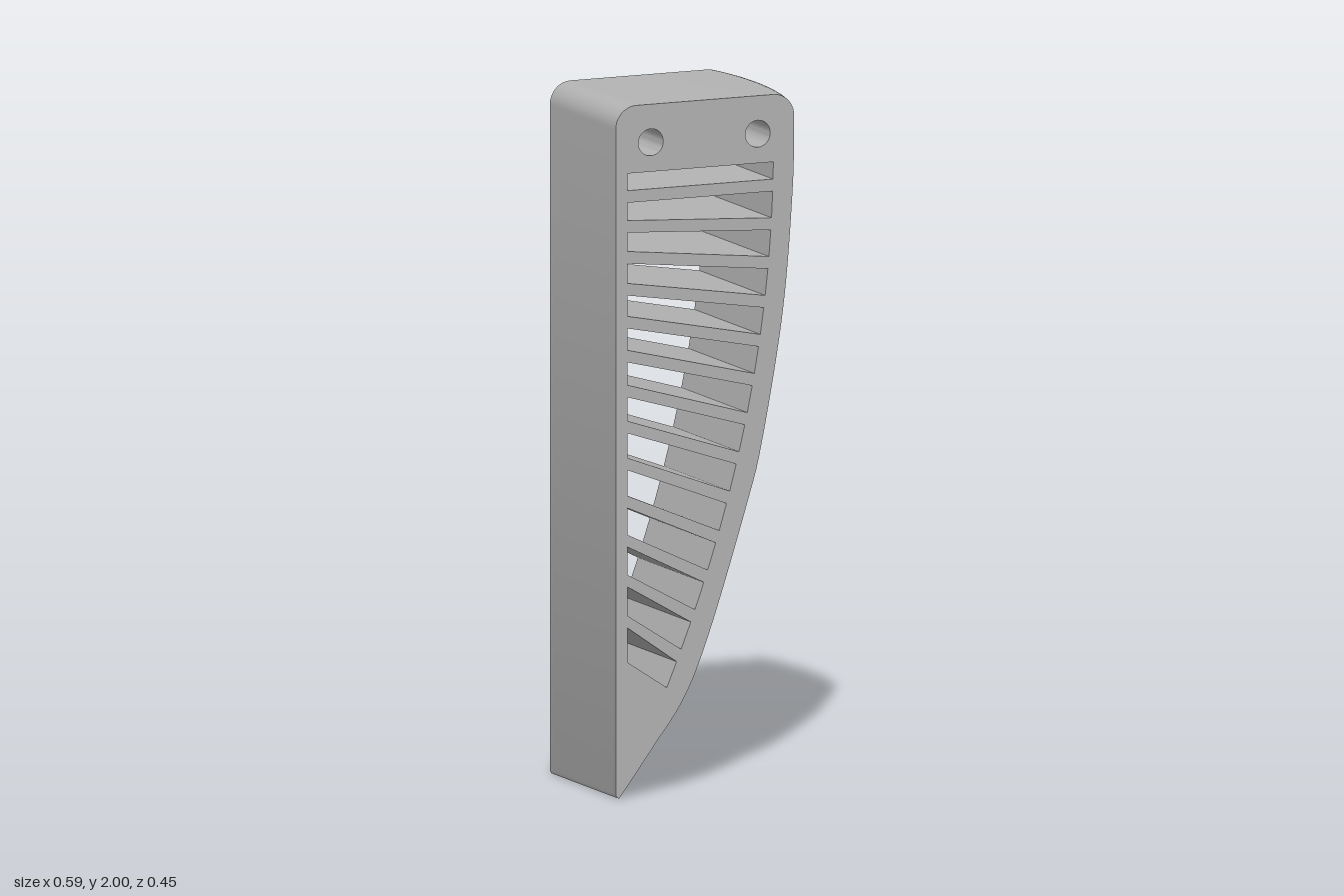
import * as THREE from 'three';
import { toCreasedNormals } from 'three/addons/utils/BufferGeometryUtils.js';

const HALF = 0.225;   // half depth
const CROWN = 0.027;  // how far the curved side bulges at mid depth
const LEFT = -0.294;

// x of the slots' curved ends at height y
const innerX = (y) => 0.2 - (1.85 - y) ** 2 / 7.1;

// rounded corner as a list of points
function arc(cx, cy, r, a0, a1, n = 10) {
  return Array.from({ length: n + 1 }, (_, i) => {
    const a = a0 + ((a1 - a0) * i) / n;
    return new THREE.Vector2(cx + r * Math.cos(a), cy + r * Math.sin(a));
  });
}

function bodyShape() {
  // curved side, from the tip up to the top corner
  const side = new THREE.SplineCurve([
    [-0.283, 0], [-0.178, 0.14], [-0.077, 0.282], [0.004, 0.474], [0.116, 0.82],
    [0.164, 1.0], [0.229, 1.37], [0.26, 1.72], [0.265, 1.935],
  ].map(([x, y]) => new THREE.Vector2(x, y))).getSpacedPoints(56);

  const shape = new THREE.Shape([
    ...side,
    ...arc(0.2, 1.935, 0.065, 0, Math.PI / 2).slice(1),
    ...arc(LEFT + 0.065, 1.935, 0.065, Math.PI / 2, Math.PI),
    new THREE.Vector2(LEFT, 0.012),
    new THREE.Vector2(LEFT + 0.004, 0.002),
  ]);

  // two round bolt holes
  for (const x of [-0.184, 0.151]) {
    const hole = new THREE.Path();
    hole.setFromPoints(arc(x, 1.89, 0.039, 0, -Math.PI * 2, 32).slice(0, -1));
    shape.holes.push(hole);
  }

  // fanned slots between thirteen bars that tilt more and more towards the tip
  const bars = 13, t = 0.0175, x0 = -0.258;
  const barL = (i) => 1.738 - 0.085 * i - 0.00145 * i * i;
  const barR = (i) => 1.738 - 0.1115 * i;
  for (let i = 0; i <= bars; i++) {
    const topL = i === 0 ? 1.805 : barL(i - 1) - t;
    const topR = i === 0 ? 1.805 : barR(i - 1) - t;
    const botL = i === bars ? 0.392 : barL(i) + t;
    const botR = i === bars ? 0.31 : barR(i) + t;
    const slot = new THREE.Path();
    slot.setFromPoints([
      new THREE.Vector2(x0, topL),
      new THREE.Vector2(innerX(topR), topR),
      new THREE.Vector2(innerX(botR), botR),
      new THREE.Vector2(x0, botL),
    ]);
    shape.holes.push(slot);
  }
  return shape;
}

export function createModel() {
  const group = new THREE.Group();
  group.name = 'slottedWedge';
  const grey = new THREE.MeshStandardMaterial({ color: 0xb3b3b3 });
  grey.name = 'grey';

  const geo = new THREE.ExtrudeGeometry(bodyShape(), {
    depth: HALF * 2, steps: 18, bevelEnabled: false,
  });
  geo.translate(0, 0, -HALF);

  // crown the curved side, trimmed by a flat chamfer near the tip
  const p = geo.attributes.position;
  for (let i = 0; i < p.count; i++) {
    const x = p.getX(i), y = p.getY(i), z = p.getZ(i);
    const onSide = y > 1.934 ? x > 0.195
      : y < 0.3 ? x > -0.288
      : x > innerX(y) + 0.03;
    if (!onSide) continue;
    const bulge = CROWN * (1 - (z / HALF) ** 2) * (y < 0.9 ? 1.1 : 1);
    const chamfer = -0.283 + 0.845 * y;
    p.setX(i, Math.max(x, Math.min(x + bulge, chamfer)));
  }

  const body = new THREE.Mesh(toCreasedNormals(geo, 0.45), grey);
  body.name = 'slottedBody';
  group.add(body);
  return group;
}
